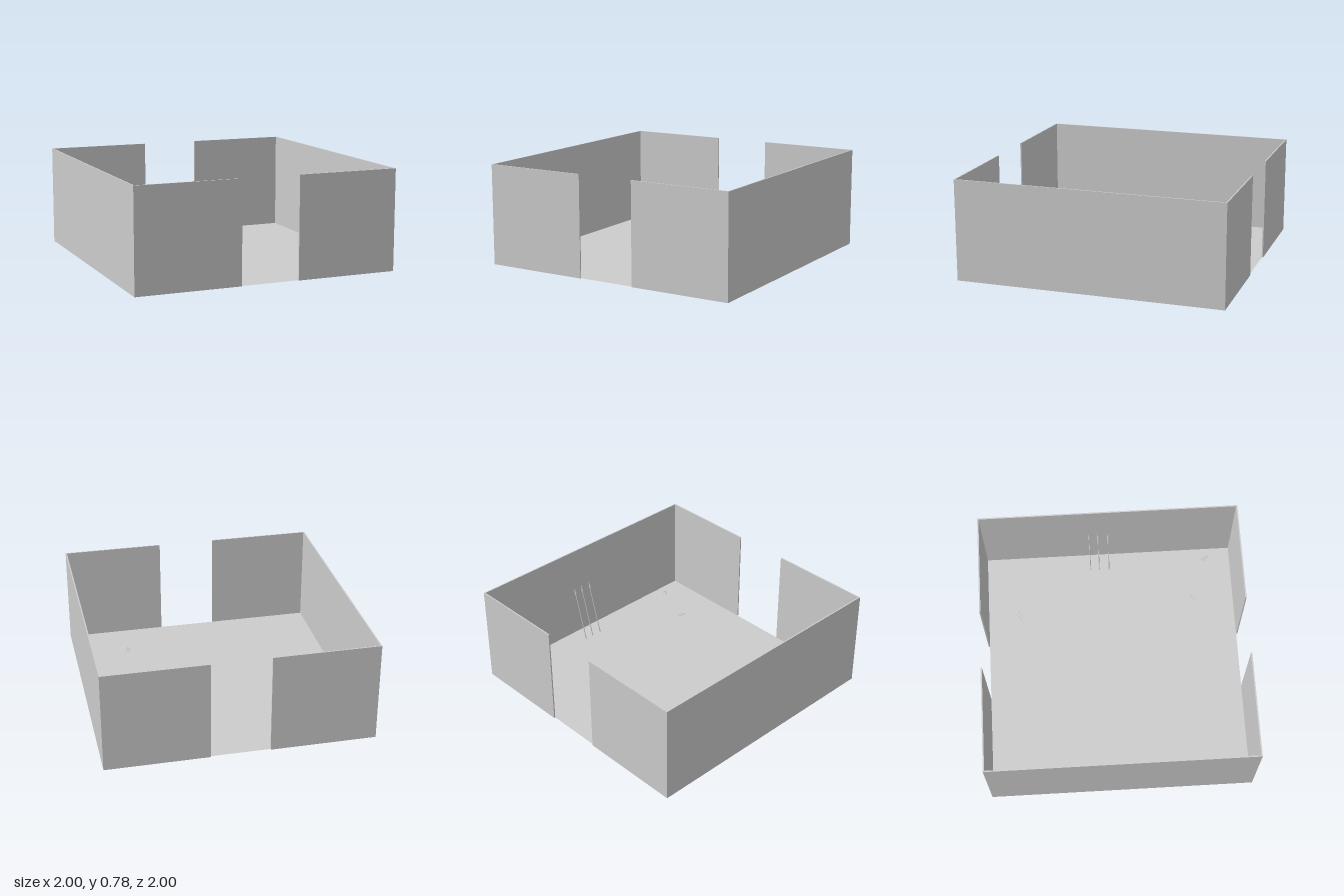
import * as THREE from 'three';

const FLOOR_Y = 0.02, WALL_TOP = 0.78, T = 0.01;

export function createModel() {
  const model = new THREE.Group();
  const grey = new THREE.MeshStandardMaterial({ color: 0xcccccc, flatShading: true });
  const thin = new THREE.MeshStandardMaterial({ color: 0xcccccc, side: THREE.DoubleSide });

  const add = (parent, name, geometry, material = grey) => {
    const mesh = new THREE.Mesh(geometry, material);
    mesh.name = name;
    parent.add(mesh);
    return mesh;
  };

  // Rod stretched between two points, optionally tapering
  const rod = (parent, name, from, to, r0, r1 = r0) => {
    const a = new THREE.Vector3(...from), b = new THREE.Vector3(...to);
    const dir = b.clone().sub(a);
    const mesh = add(parent, name, new THREE.CylinderGeometry(r1, r0, dir.length(), 6));
    mesh.position.copy(a).add(b).multiplyScalar(0.5);
    mesh.quaternion.setFromUnitVectors(new THREE.Vector3(0, 1, 0), dir.normalize());
    return mesh;
  };

  // Wall block given by its extents on the ground
  const wall = (name, x0, x1, z0, z1) => {
    const mesh = add(model, name, new THREE.BoxGeometry(x1 - x0, WALL_TOP - FLOOR_Y, z1 - z0));
    mesh.position.set((x0 + x1) / 2, (FLOOR_Y + WALL_TOP) / 2, (z0 + z1) / 2);
  };

  // Thin floor between the walls
  const floor = add(model, 'floor', new THREE.PlaneGeometry(2 - 2 * T, 2 - 2 * T), thin);
  floor.rotation.x = -Math.PI / 2;
  floor.position.y = FLOOR_Y;

  // Solid side walls
  wall('leftWall', 1 - T, 1, -1, 1);
  wall('rightWall', -1, -1 + T, -1, 1);

  // Front and back walls, each split by a doorway
  for (const [side, z] of [['front', 1 - T], ['back', -1]]) {
    wall(side + 'WallRight', -1 + T, -0.21, z, z + T);
    wall(side + 'WallLeft', 0.23, 1 - T, z, z + T);
  }

  // Three spears leaning against the left wall
  for (const z of [-0.15, -0.08, 0]) {
    const spear = new THREE.Group();
    spear.name = 'spear';
    rod(spear, 'spearButt', [0.85, 0.003, z], [0.858, 0.035, z], 0.001, 0.005);
    rod(spear, 'spearShaft', [0.857, 0.03, z], [0.962, 0.41, z], 0.004);
    rod(spear, 'spearHead', [0.96, 0.405, z], [0.972, 0.45, z], 0.009, 0.001);
    model.add(spear);
  }

  // Small bundles of crossed sticks half sunk in the floor
  for (const [x, z, angle] of [[0.48, -0.74, 0.58], [0.57, 0.66, 1.2], [0.91, 0.79, -0.92]]) {
    const sticks = new THREE.Group();
    sticks.name = 'crossedSticks';
    for (const s of [-1, 1]) {
      rod(sticks, 'upperStick', [-0.032, FLOOR_Y, s * 0.009], [0.032, FLOOR_Y, s * 0.009], 0.003);
      rod(sticks, 'lowerStick', [-0.035, 0.016, -s * 0.04], [0.035, 0.016, s * 0.04], 0.003);
    }
    sticks.position.set(x, 0, z);
    sticks.rotation.y = angle;
    model.add(sticks);
  }

  return model;
}
